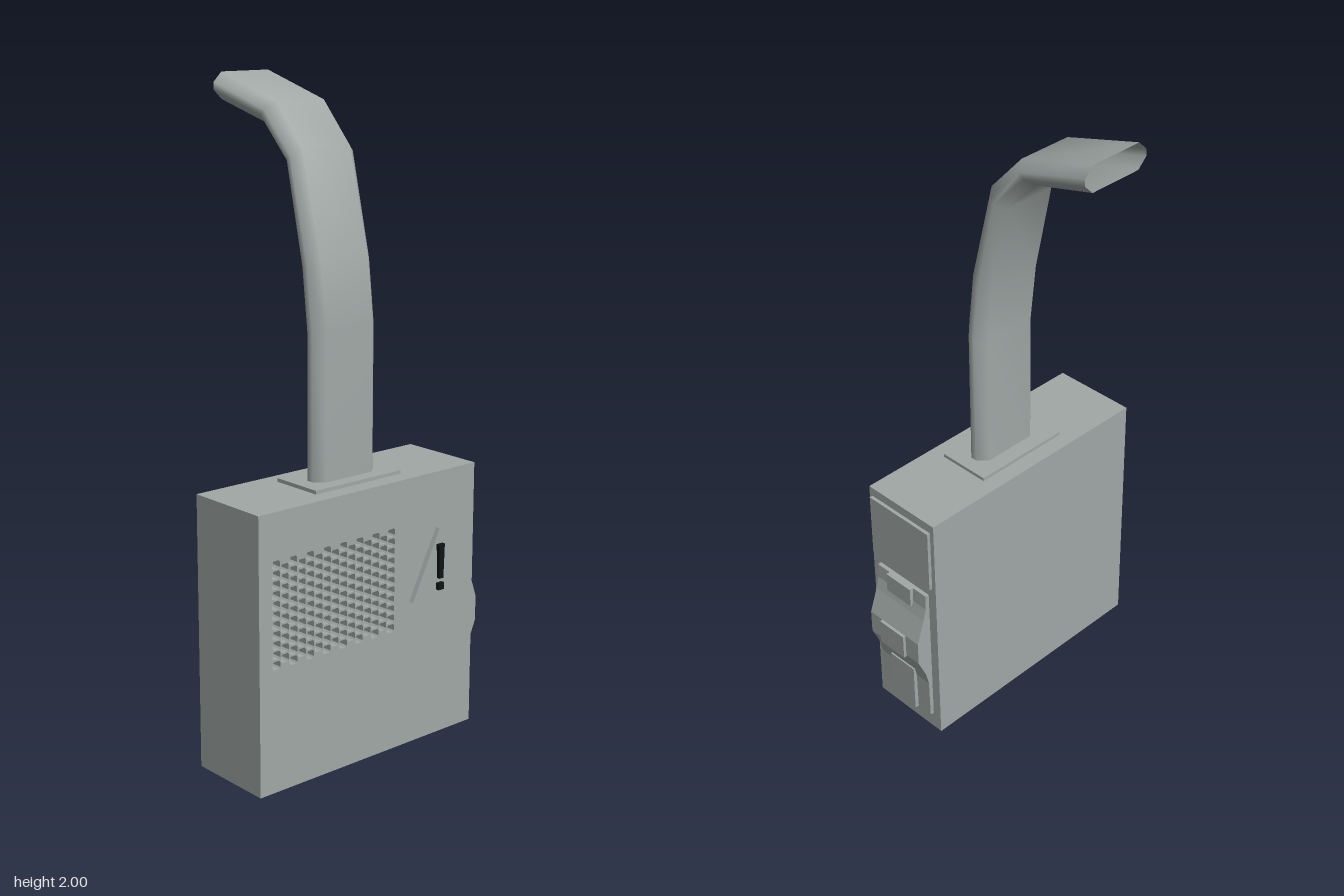
import * as THREE from 'three';

export function createModel() {
  const model = new THREE.Group();
  const grey = new THREE.MeshStandardMaterial({ color: 0xa0a8a6, side: THREE.DoubleSide });
  grey.name = 'casing grey';
  const black = new THREE.MeshStandardMaterial({ color: 0x111414 });
  black.name = 'warning black';

  const add = (name, geometry, material = grey) => {
    const mesh = new THREE.Mesh(geometry, material);
    mesh.name = name;
    model.add(mesh);
    return mesh;
  };
  // Box given by its limits on each axis
  const box = (name, x0, x1, y0, y1, z0, z1) =>
    add(name, new THREE.BoxGeometry(x1 - x0, y1 - y0, z1 - z0))
      .position.set((x0 + x1) / 2, (y0 + y1) / 2, (z0 + z1) / 2);
  const polygon = (pts) => new THREE.Shape(pts.map(([x, y]) => new THREE.Vector2(x, y)));
  // Flat shape in xy, extruded from z0 to z1
  const plate = (name, shape, z0, z1, material) =>
    add(name, new THREE.ExtrudeGeometry(shape, { depth: z1 - z0, bevelEnabled: false }), material)
      .position.z = z0;

  // Casing with a perforated front panel
  const L = -0.455, R = 0.387, H = 0.84, panelBack = 0.24;
  box('casing', L, R, 0, H, -0.01, panelBack);
  const front = polygon([[L, 0], [R, 0], [R, H], [L, H]]);
  const w = 0.0145, h = 0.0125, c = 0.005;
  for (let col = 0; col < 15; col++) {
    const odd = col % 2;
    for (let row = 0; row < 11 - odd; row++) {
      const x = -0.394 + col * 0.0313;
      const y = 0.388 + (row + odd / 2) * 0.0298;
      front.holes.push(new THREE.Path([
        [-w, -h + c], [-w, h - c], [-w + c, h], [w - c, h],
        [w, h - c], [w, -h + c], [w - c, -h], [-w + c, -h],
      ].map(([dx, dy]) => new THREE.Vector2(x + dx, y + dy))));
    }
  }
  plate('frontPanelWithVents', front, panelBack, 0.27);

  // Warning sign
  plate('warningTriangle', polygon([[0.12, 0.455], [0.335, 0.455], [0.2275, 0.667]]), 0.27, 0.287);
  plate('warningBar', polygon([[0.22, 0.512], [0.235, 0.512], [0.239, 0.62], [0.215, 0.62]]), 0.287, 0.298, black);
  plate('warningDot', polygon([[0.216, 0.476], [0.238, 0.476], [0.238, 0.498], [0.216, 0.498]]), 0.287, 0.298, black);

  // Left side: upper cover, bulged latch and its three raised pads
  box('upperSideCover', R, 0.398, 0.594, 0.81, 0.005, 0.258);
  plate('bulgedLatch', polygon([
    [R, 0.06], [0.4, 0.06], [0.402, 0.2], [0.412, 0.245], [0.44, 0.31],
    [0.44, 0.39], [0.412, 0.47], [0.402, 0.51], [0.4, 0.56], [R, 0.56],
  ]), 0.022, 0.237);
  box('upperPad', 0.395, 0.413, 0.495, 0.56, 0.078, 0.184);
  box('middlePad', 0.435, 0.45, 0.305, 0.39, 0.078, 0.184);
  box('lowerPad', 0.395, 0.414, 0.062, 0.23, 0.078, 0.184);

  // Mounting flange
  box('pipeFlange', -0.2, 0.13, H, 0.851, 0.042, 0.216);

  // Flat bent pipe, open at its end: [front z, front y, back z, back y] per section
  const sections = [
    [0.172, H, 0.093, H],
    [0.172, 1.3, 0.093, 1.28],
    [0.15, 1.485, 0.072, 1.47],
    [0.07, 1.8, 0.013, 1.75],
    [-0.045, 1.925, -0.103, 1.867],
    [-0.3, 2.0, -0.3, 1.92],
  ];
  const ring = [ // x offset, share of the way from back to front
    [-0.088, 1], [0.088, 1], [0.118, 0.63], [0.118, 0.37],
    [0.088, 0], [-0.088, 0], [-0.118, 0.37], [-0.118, 0.63],
  ];
  const positions = [], index = [], n = ring.length;
  sections.forEach(([fz, fy, bz, by], i) => {
    ring.forEach(([x, t], j) => {
      positions.push(x - 0.034, by + (fy - by) * t, bz + (fz - bz) * t);
      if (i === sections.length - 1) return;
      const a = i * n + j, b = i * n + (j + 1) % n;
      index.push(a, b, a + n, b, b + n, a + n);
    });
  });
  const pipe = new THREE.BufferGeometry();
  pipe.setAttribute('position', new THREE.Float32BufferAttribute(positions, 3));
  pipe.setIndex(index);
  pipe.computeVertexNormals();
  add('bentPipe', pipe);

  return model;
}
